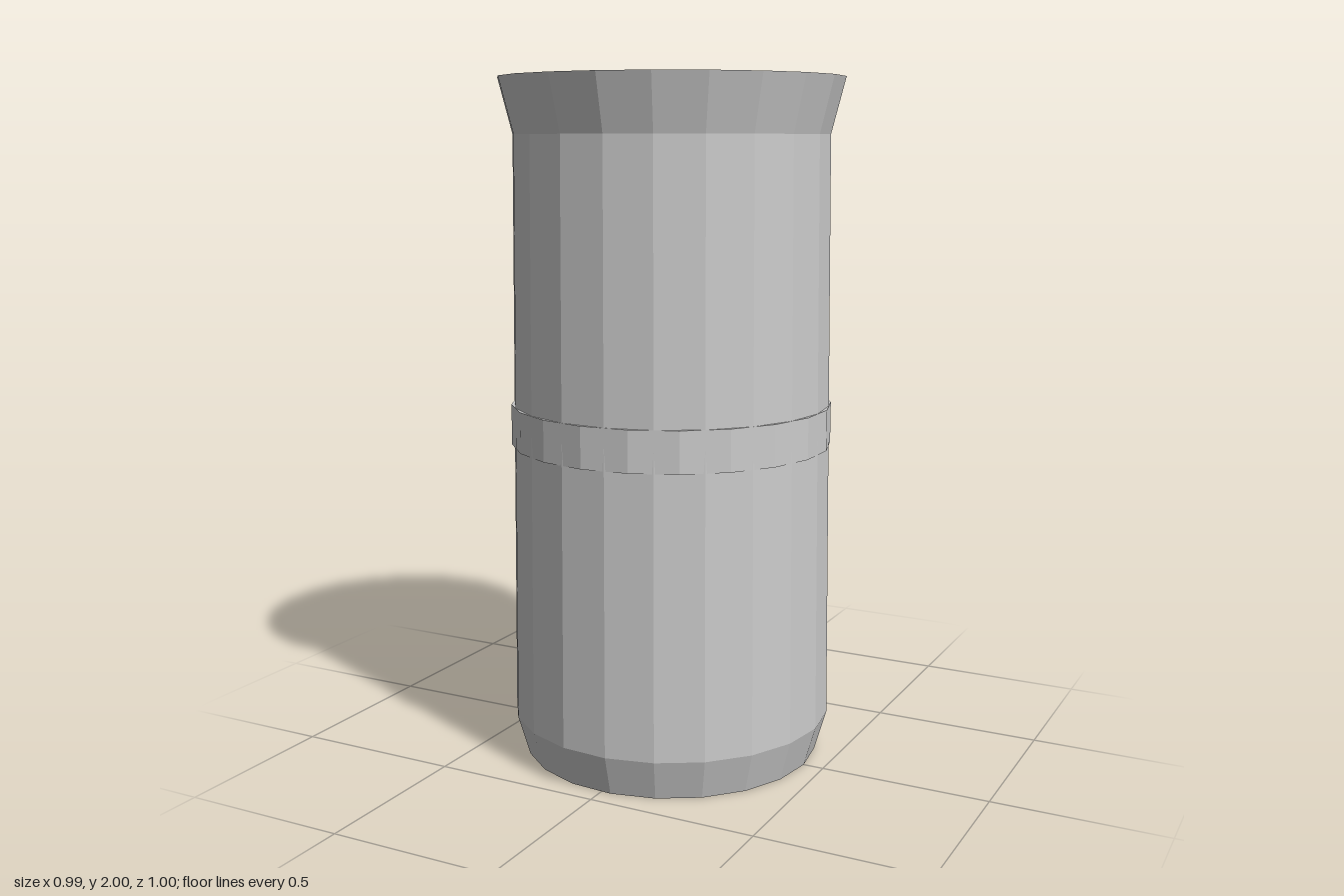
import * as THREE from 'three';

const SIDES = 21;

export function createModel() {
  const model = new THREE.Group();
  model.name = 'cup';

  const grey = new THREE.MeshStandardMaterial({ color: 0xcccccc, flatShading: true });
  grey.name = 'light grey';

  // Faceted solid of revolution; the start angle sets where the first corner lies
  const turned = (name, profile, start) => {
    const points = profile.map(([r, y]) => new THREE.Vector2(r, y));
    const mesh = new THREE.Mesh(new THREE.LatheGeometry(points, SIDES, start, Math.PI * 2), grey);
    mesh.name = name;
    mesh.position.x = -0.003; // an odd number of sides is off-centre
    model.add(mesh);
  };

  // Hollow tumbler: chamfered foot, tapered wall, flared lip, inner wall and floor
  turned('tumbler', [
    [0, 0], [0.442, 0], [0.477, 0.12], [0.459, 1.84], [0.5, 2],
    [0.418, 2], [0.406, 0.1], [0, 0.1],
  ], Math.PI / 2);

  // Thin band round the middle, turned half a facet against the wall
  turned('middleBand', [
    [0.455, 0.94], [0.473, 0.94], [0.473, 1.06], [0.455, 1.06],
  ], Math.PI / 2 + Math.PI / SIDES);

  return model;
}
